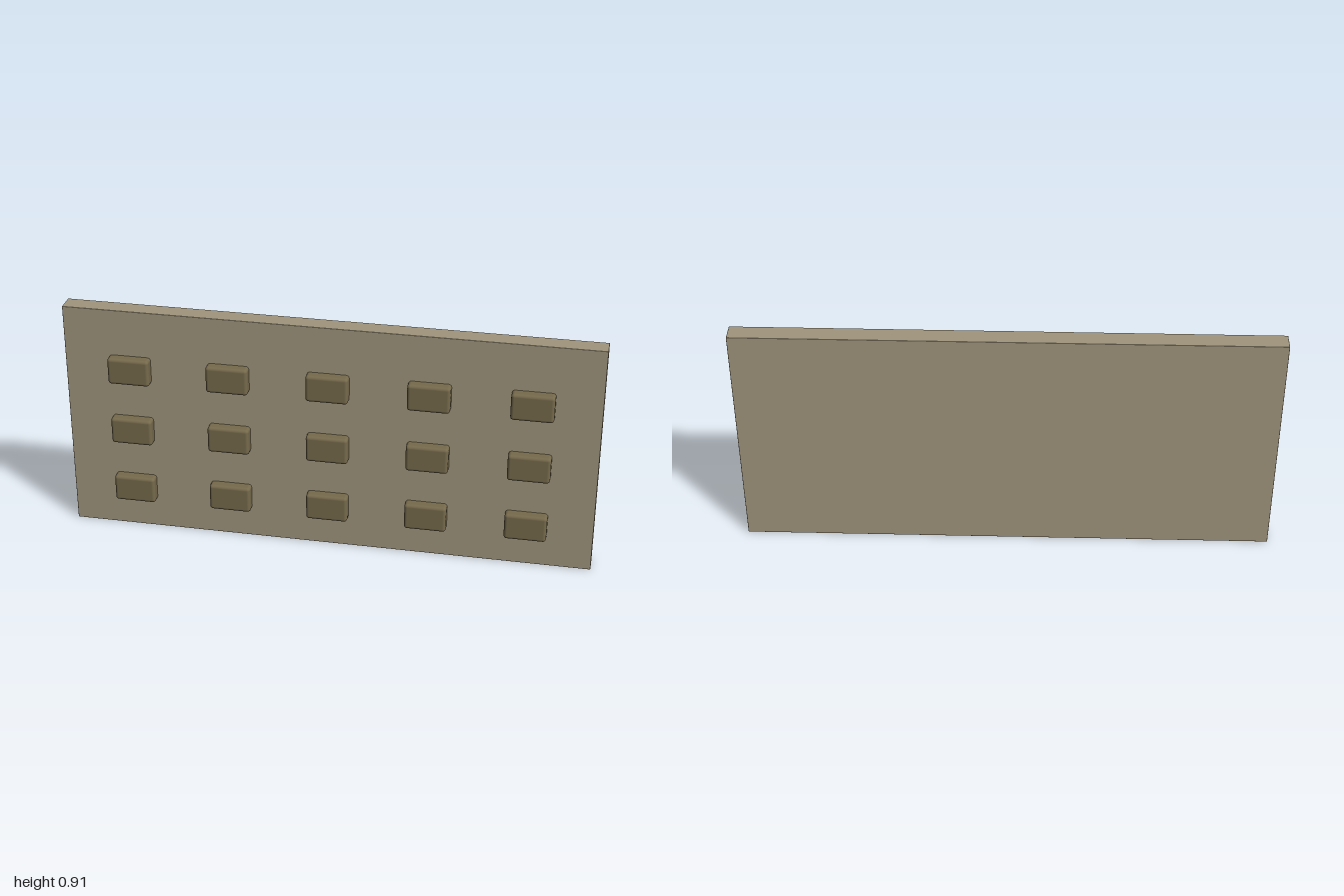
import * as THREE from 'three';
import { RoundedBoxGeometry } from 'three/addons/geometries/RoundedBoxGeometry.js';

export function createModel() {
  const model = new THREE.Group();
  model.name = 'studdedWall';

  const panelMaterial = new THREE.MeshStandardMaterial({ color: 0xa0957d });
  panelMaterial.name = 'pale stone';
  const studMaterial = new THREE.MeshStandardMaterial({ color: 0x766a4c });
  studMaterial.name = 'dark stone';

  // Upright slab with very slightly softened edges
  const height = 0.906, back = -0.055, front = 0.018;
  const panel = new THREE.Mesh(
    new RoundedBoxGeometry(2, height, front - back, 2, 0.002), panelMaterial);
  panel.name = 'panel';
  panel.position.set(0, height / 2, (front + back) / 2);
  model.add(panel);

  // Three rows of five rounded blocks, sunk partly into the slab
  const studDepth = 0.075, studFront = 0.056;
  const studGeometry = new RoundedBoxGeometry(0.158, 0.105, studDepth, 3, 0.012);
  const studs = new THREE.Group();
  studs.name = 'studs';
  for (let row = 0; row < 3; row++) {
    for (let column = 0; column < 5; column++) {
      const stud = new THREE.Mesh(studGeometry, studMaterial);
      stud.name = `stud${row + 1}_${column + 1}`;
      stud.position.set((column - 2) * 0.375, 0.172 + row * 0.25, studFront - studDepth / 2);
      studs.add(stud);
    }
  }
  model.add(studs);

  return model;
}
